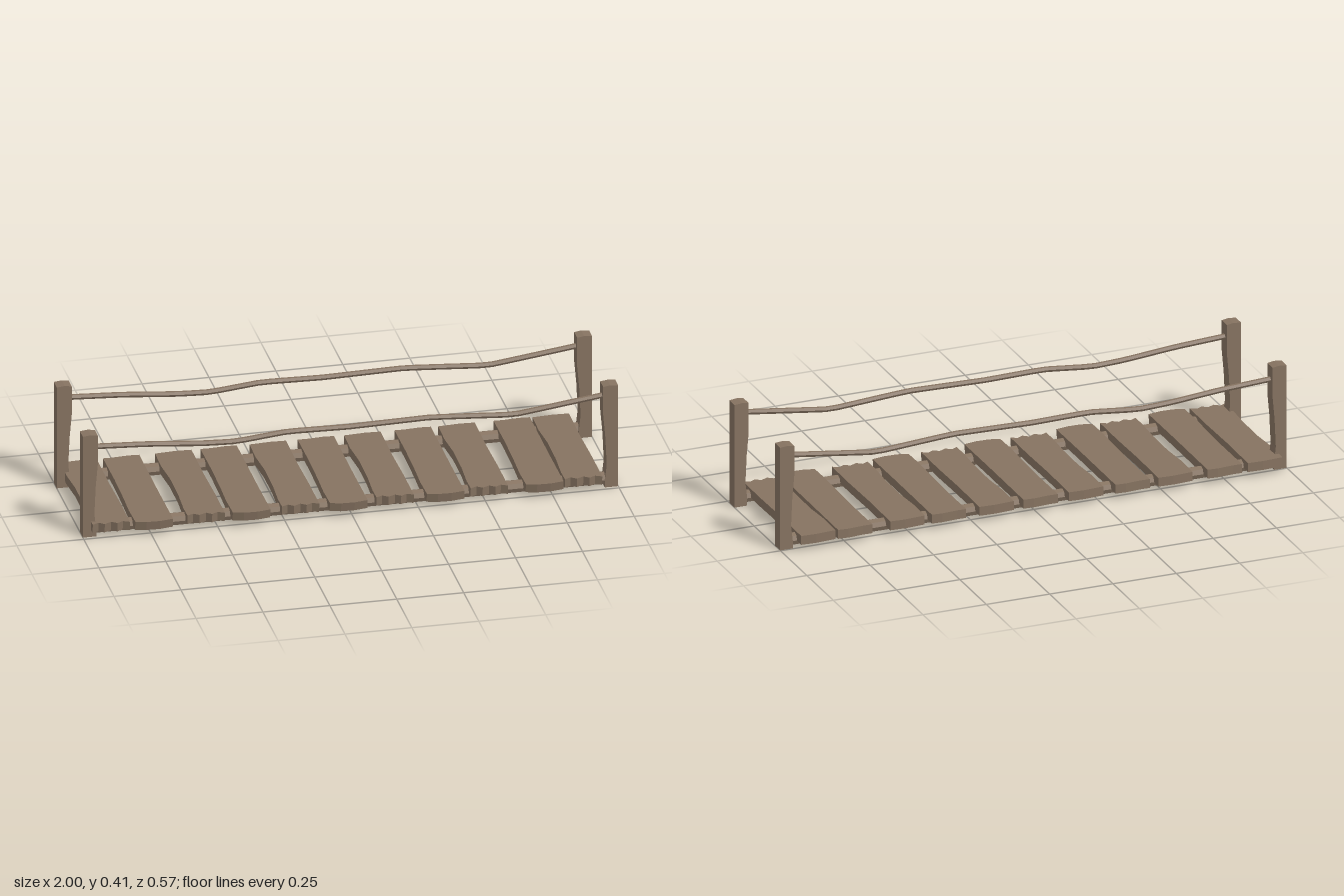
import * as THREE from 'three';

const wood = new THREE.MeshStandardMaterial({ color: 0x857260, flatShading: true });
wood.name = 'weathered wood';

const FRONT_Z = 0.21, BACK_Z = -0.222;

function add(parent, name, geometry) {
  const mesh = new THREE.Mesh(geometry, wood);
  mesh.name = name;
  parent.add(mesh);
  return mesh;
}

function shapeFrom(points) {
  return new THREE.Shape(points.map(([x, y]) => new THREE.Vector2(x, y)));
}

// Post with a worn hollow on the side facing the deck; side is -1 or +1
function postGeometry(side) {
  const outline = [[1, 0], [1, 0.406], [0.97, 0.409], [0.944, 0.405], [0.944, 0.29],
    [0.952, 0.2], [0.957, 0.09], [0.95, 0.03], [0.95, 0]];
  const points = outline.map(([x, y]) => [x * side, y]);
  const g = new THREE.ExtrudeGeometry(shapeFrom(points), { depth: 0.05, bevelEnabled: false });
  return g.translate(0, 0, -0.025);
}

// Plank outlines are [x, z], drawn around x = 0
const splinteredOutline = [
  [-0.069, 0.262], [-0.045, 0.25], [-0.025, 0.266], [0.002, 0.252], [0.022, 0.268],
  [0.045, 0.255], [0.069, 0.268], [0.07, 0.1], [0.067, -0.08], [0.069, -0.285],
  [0.01, -0.288], [-0.068, -0.282], [-0.07, -0.17], [-0.062, -0.06], [-0.063, 0.08], [-0.07, 0.2],
];
const bluntOutline = [
  [-0.07, 0.272], [-0.03, 0.283], [0.02, 0.285], [0.07, 0.276], [0.069, 0.05],
  [0.07, -0.285], [0.03, -0.288], [-0.03, -0.283], [-0.066, -0.284], [-0.065, -0.1],
  [-0.068, 0.06], [-0.072, 0.17],
];

function plankGeometry(outline, undercut) {
  const shape = shapeFrom(outline.map(([x, z]) => [x, -z]));
  const g = new THREE.ExtrudeGeometry(shape, { depth: 0.035, bevelEnabled: false });
  g.rotateX(-Math.PI / 2).translate(0, 0.026, 0);
  // Slope the front end inwards towards the underside
  const p = g.attributes.position;
  for (let i = 0; i < p.count; i++) {
    if (p.getZ(i) > 0.24 && p.getY(i) < 0.04) p.setZ(i, p.getZ(i) - undercut);
  }
  g.computeVertexNormals();
  return g;
}

export function createModel() {
  const bridge = new THREE.Group();
  bridge.name = 'plankBridge';

  // Deck planks, alternating splintered and blunt ends
  const deck = new THREE.Group();
  deck.name = 'deck';
  bridge.add(deck);
  const splintered = plankGeometry(splinteredOutline, 0.003);
  const blunt = plankGeometry(bluntOutline, 0.007);
  [-0.9, -0.742, -0.546, -0.378, -0.193, -0.015, 0.16, 0.347, 0.512, 0.717, 0.864].forEach((x, i) => {
    add(deck, 'plank' + (i + 1), i % 2 ? blunt : splintered).position.x = x;
  });

  // Sagging handrail path
  const railPoints = [[-0.97, 0.352], [-0.75, 0.34], [-0.55, 0.322], [-0.42, 0.317], [-0.23, 0.336],
    [0, 0.332], [0.3, 0.338], [0.5, 0.325], [0.62, 0.318], [0.97, 0.364]];
  const railCurve = new THREE.CatmullRomCurve3(
    railPoints.map(([x, y]) => new THREE.Vector3(x, y, 0)), false, 'catmullrom', 0.1);
  const railGeometry = new THREE.TubeGeometry(railCurve, 40, 0.0105, 6, false);

  // Round beam under the deck
  const beamGeometry = new THREE.CylinderGeometry(0.024, 0.024, 1.94, 8);
  beamGeometry.rotateZ(Math.PI / 2);

  for (const [label, z] of [['front', FRONT_Z], ['back', BACK_Z]]) {
    add(bridge, label + 'Beam', beamGeometry).position.set(0, 0.028, z);
    add(bridge, label + 'Handrail', railGeometry).position.z = z;
    for (const side of [-1, 1]) {
      const name = label + (side > 0 ? 'Left' : 'Right') + 'Post';
      add(bridge, name, postGeometry(side)).position.z = z;
    }
  }
  return bridge;
}
